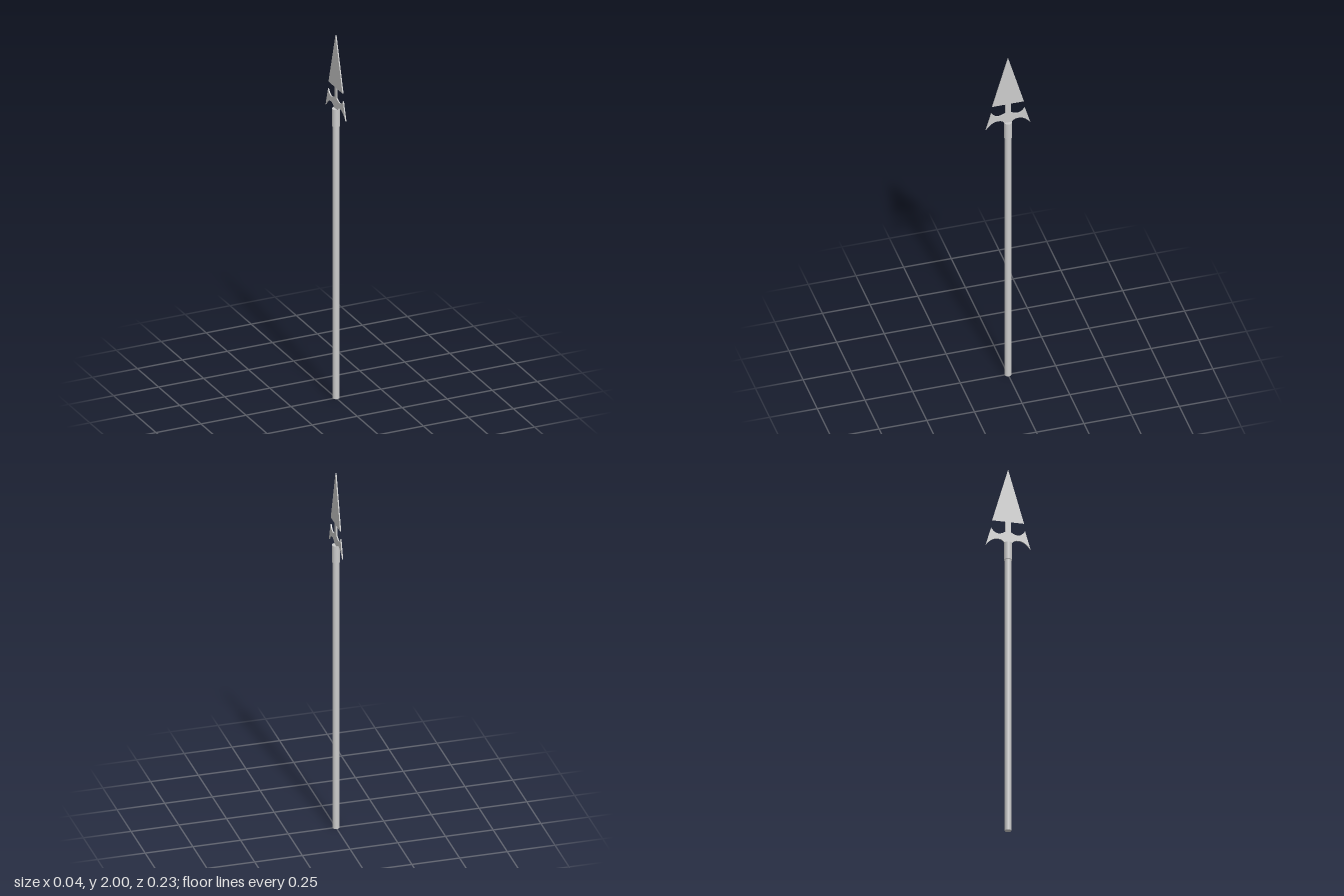
import * as THREE from 'three';

const material = new THREE.MeshStandardMaterial({ color: 0xcccccc });

function addPart(group, name, geometry) {
  const mesh = new THREE.Mesh(geometry, material);
  mesh.name = name;
  group.add(mesh);
  return mesh;
}

// Cylinder spanning bottom to top along y
function rod(radius, bottom, top) {
  return new THREE.CylinderGeometry(radius, radius, top - bottom, 32).translate(0, (bottom + top) / 2, 0);
}

// One side of the flat head, from the tip down to the collar
function headOutline() {
  const half = new THREE.Path();
  half.moveTo(0, 2);
  half.lineTo(0.083, 1.71);
  half.quadraticCurveTo(0.062, 1.752, 0.034, 1.752); // hollow under the blade
  half.quadraticCurveTo(0.014, 1.752, 0.014, 1.735);
  half.lineTo(0.014, 1.655); // neck
  half.quadraticCurveTo(0.022, 1.65, 0.034, 1.645);
  half.quadraticCurveTo(0.066, 1.632, 0.088, 1.67); // upper barb point
  half.lineTo(0.117, 1.57); // lower barb point
  half.quadraticCurveTo(0.085, 1.618, 0.045, 1.612);
  half.quadraticCurveTo(0.02, 1.608, 0.014, 1.58);
  const side = half.getPoints(8);
  const mirrored = side.slice(1).reverse().map((p) => new THREE.Vector2(-p.x, p.y));
  return new THREE.Shape([...side, ...mirrored]);
}

export function createModel() {
  const spear = new THREE.Group();
  spear.name = 'spear';

  addPart(spear, 'shaft', rod(0.0175, 0, 1.52));
  addPart(spear, 'collar', rod(0.021, 1.5, 1.595));

  // Thin barbed head lying in the y-z plane
  const thickness = 0.006;
  const head = new THREE.ExtrudeGeometry(headOutline(), { depth: thickness, bevelEnabled: false });
  head.translate(0, 0, -thickness / 2).rotateY(Math.PI / 2);
  addPart(spear, 'barbedHead', head);

  return spear;
}
